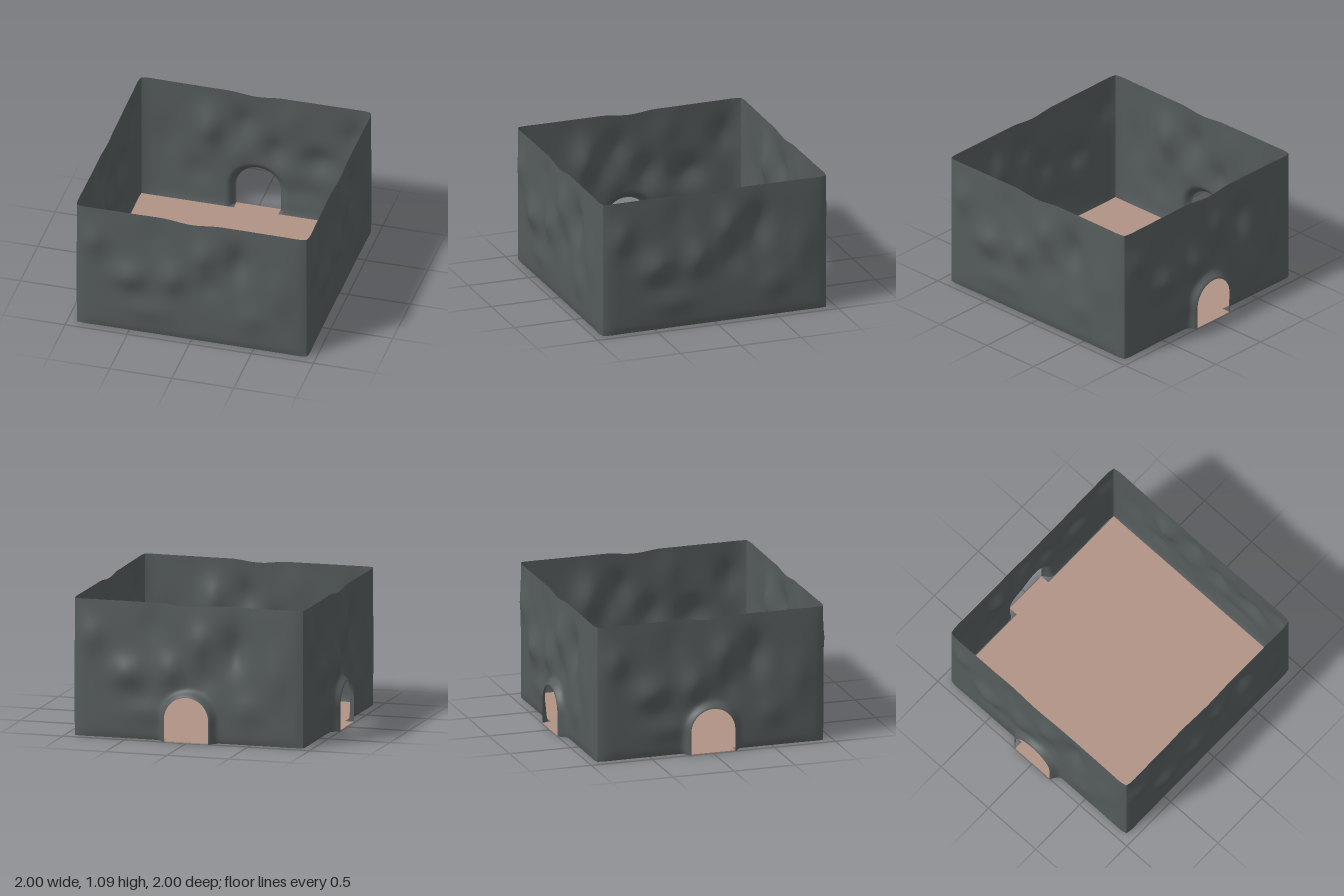
import * as THREE from 'three';

const HALF = 0.925, HEIGHT = 1.085, DOOR_R = 0.18, DOOR_SIDE = 0.18;

// Bulges and dents of the rough stone: u, y, depth, spread u, spread y
const bumps = [
  [-0.8, 0.8, 0.04, 0.1, 0.13], [-0.5, 0.52, 0.052, 0.13, 0.12],
  [-0.15, 0.56, 0.042, 0.1, 0.13], [0.1, 0.8, 0.035, 0.09, 0.13],
  [0.37, 0.74, -0.06, 0.1, 0.17], [0.14, 0.5, -0.02, 0.1, 0.12],
  [0.48, 0.28, 0.022, 0.12, 0.12], [0.72, 0.55, 0.022, 0.11, 0.2],
  [-0.35, 0.22, 0.02, 0.2, 0.1], [-0.3, 0.9, -0.015, 0.1, 0.15],
];

// Distance of (u, y) outside the arch outline
function archDistance(u, y) {
  return Math.max(0, Math.hypot(u, Math.max(0, y - DOOR_SIDE)) - DOOR_R);
}

// Point on a rough wall facing +z
function wallPoint(u, y, hasDoor) {
  const edge = Math.abs(u) / HALF;
  const fade = 1 - edge ** 10;
  let out = 0.945 - 0.02 * edge ** 24 - 0.012 * (y / HEIGHT) ** 6 * fade;
  let rough = -0.014 * Math.exp(-y / 0.03);
  for (const [bu, by, depth, su, sy] of bumps) {
    rough += depth * Math.exp(-(((u - bu) / su) ** 2) - ((y - by) / sy) ** 2);
  }
  out += rough * fade;
  if (hasDoor) {
    // the stone flares out to the doorway lip
    const flare = Math.exp(-((archDistance(u, y) / 0.035) ** 2));
    out += (1 - out) * flare;
  }
  // the rim sags in the middle
  const sag = Math.abs(u) < 0.24 ? 0.02 * Math.cos((u / 0.24) * Math.PI / 2) ** 2 : 0;
  return [u, y - sag * (y / HEIGHT) ** 4, out];
}

function plainWall() {
  const geo = new THREE.PlaneGeometry(HALF * 2, HEIGHT, 64, 36);
  const p = geo.attributes.position;
  for (let i = 0; i < p.count; i++) {
    p.setXYZ(i, ...wallPoint(p.getX(i), Math.max(0, p.getY(i) + HEIGHT / 2), false));
  }
  geo.computeVertexNormals();
  return geo;
}

// Wall with an arched doorway: loops growing from the arch to the wall's outline
function doorWall() {
  const side = 24, top = 48, n = side * 2 + top, rings = 36;
  const outline = (i) => {
    if (i <= side) return [HALF, (HEIGHT * i) / side];
    if (i <= side + top) return [HALF - (2 * HALF * (i - side)) / top, HEIGHT];
    return [-HALF, (HEIGHT * (n - i)) / side];
  };
  const arch = (i) => {
    const total = DOOR_SIDE * 2 + Math.PI * DOOR_R;
    const s = (total * i) / n;
    if (s < DOOR_SIDE) return [DOOR_R, s];
    if (s > total - DOOR_SIDE) return [-DOOR_R, total - s];
    const a = (s - DOOR_SIDE) / DOOR_R;
    return [Math.cos(a) * DOOR_R, DOOR_SIDE + Math.sin(a) * DOOR_R];
  };
  const pos = [], index = [];
  for (let j = 0; j <= rings; j++) {
    const t = (j / rings) ** 1.8;
    for (let i = 0; i <= n; i++) {
      const [au, ay] = arch(i), [ru, ry] = outline(i);
      pos.push(...wallPoint(au + (ru - au) * t, Math.max(0, ay + (ry - ay) * t), true));
      if (i < n && j < rings) {
        const a = j * (n + 1) + i, b = a + n + 1;
        index.push(a, b, b + 1, a, b + 1, a + 1);
      }
    }
  }
  const geo = new THREE.BufferGeometry();
  geo.setAttribute('position', new THREE.Float32BufferAttribute(pos, 3));
  geo.setIndex(index);
  geo.computeVertexNormals();
  return geo;
}

// Floor slab with a threshold tongue through each doorway
function floorSlab() {
  const h = HALF, d = DOOR_R;
  const shape = new THREE.Shape([
    [-h, -h], [h, -h], [h, h], [d, h], [d, 1], [-d, 1], [-d, h],
    [-h, h], [-h, d], [-1, d], [-1, -d], [-h, -d],
  ].map(([x, y]) => new THREE.Vector2(x, y)));
  const geo = new THREE.ExtrudeGeometry(shape, { depth: 0.008, bevelEnabled: false });
  return geo.rotateX(-Math.PI / 2);
}

export function createModel() {
  const stone = new THREE.MeshStandardMaterial({ color: 0x555b5c, side: THREE.DoubleSide });
  stone.name = 'darkStone';
  const clay = new THREE.MeshStandardMaterial({ color: 0xb09284 });
  clay.name = 'clayFloor';

  const model = new THREE.Group();
  model.name = 'room';
  const floor = new THREE.Mesh(floorSlab(), clay);
  floor.name = 'floor';
  model.add(floor);

  // Four turns of the same wall; the back and right ones have doorways
  const plain = plainWall(), door = doorWall();
  ['frontWall', 'leftWall', 'backDoorWall', 'rightDoorWall'].forEach((name, k) => {
    const wall = new THREE.Mesh(k < 2 ? plain : door, stone);
    wall.name = name;
    wall.rotation.y = (k * Math.PI) / 2;
    model.add(wall);
  });
  return model;
}
